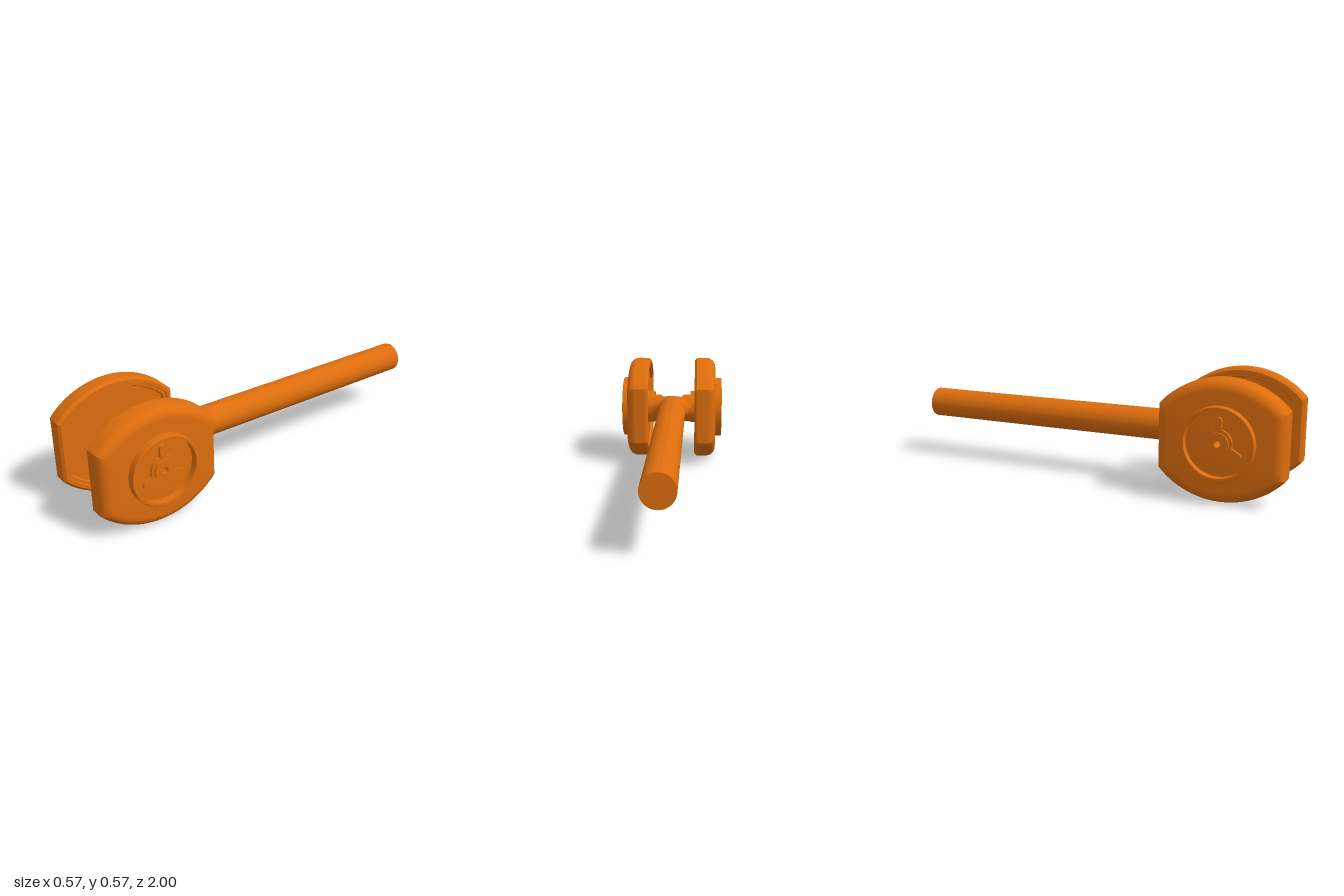
import * as THREE from 'three';
import { toCreasedNormals } from 'three/addons/utils/BufferGeometryUtils.js';

const CY = 0.288, CZ = 0.7;            // axle height and position
const HUB_R = 0.092, ROD_R = 0.077, HOLE_R = 0.015;
const material = new THREE.MeshStandardMaterial({ color: 0xdd6d0d });

function part(name, geometry, crease = 0.5) {
  const mesh = new THREE.Mesh(toCreasedNormals(geometry, crease), material);
  mesh.name = name;
  return mesh;
}

// Grid surface whose vertices are placed by fn(u, v) -> [x, y, z]
function surface(nu, nv, fn) {
  const g = new THREE.PlaneGeometry(1, 1, nu, nv);
  const p = g.attributes.position;
  for (let j = 0, k = 0; j <= nv; j++)
    for (let i = 0; i <= nu; i++, k++) p.setXYZ(k, ...fn(i / nu, j / nv));
  return g;
}

// Ring turned about the x axis
function ring(name, x0, x1, rIn, rOut, bevel = 0) {
  const pts = [[rIn, x0], [rOut, x0], [rOut, x1 - bevel], [rOut - bevel, x1], [rIn, x1], [rIn, x0]]
    .filter((p, i) => bevel > 0 || i !== 3)
    .map(p => new THREE.Vector2(...p));
  return part(name, new THREE.LatheGeometry(pts, 64).rotateZ(-Math.PI / 2));
}

// Wheel outline [z, y]: flat front and back, arched top and bottom, inset by d
const SIDE = 8, ARC = 40, AROUND = 2 * (SIDE + ARC);
function outline(i, d) {
  const R = 0.403 - d, w = 0.3 - d, drop = 0.116;
  const edge = Math.sqrt(R * R - w * w) - drop;
  const half = SIDE + ARC, s = (i % AROUND) < half ? 1 : -1, k = i % half;
  if (k < SIDE) return [s * w, s * edge * (2 * k / SIDE - 1)];
  const a0 = Math.asin(w / R), a = a0 * (1 - 2 * (k - SIDE) / ARC);
  return [s * R * Math.sin(a), s * (R * Math.cos(a) - drop)];
}

function wheelBody() {
  // Profile from the inner floor over the rim to the outer floor
  const profile = [
    { x: 0.15, r: HOLE_R }, { x: 0.15, d: 0.05 }, { x: 0.138, d: 0.045 }, { x: 0.138, d: 0.03 },
    { x: 0.131, d: 0.028 }, { x: 0.131, d: 0.012 }, { x: 0.143, d: 0 },
  ];
  for (let k = 0; k <= 8; k++) {
    const t = k / 8 * Math.PI / 2;
    profile.push({ x: 0.2 + 0.05 * Math.sin(t), d: 0.05 * (1 - Math.cos(t)) });
  }
  profile.push({ x: 0.25, r: HOLE_R }, { x: 0.15, r: HOLE_R });
  const n = profile.length - 1;
  return part('wheelBody', surface(AROUND, n, (u, v) => {
    const { x, d = 0, r } = profile[Math.round(v * n)];
    let [z, y] = outline(Math.round(u * AROUND), d);
    if (r) {
      const s = r / Math.hypot(z, y);
      z *= s;
      y *= s;
    }
    return [x, y, z];
  }));
}

// Round-ended spoke on the outer face
function spoke(angle) {
  const w = 0.017, a = 0.05, b = 0.104;
  const s = new THREE.Shape();
  s.moveTo(-w, a);
  s.lineTo(w, a);
  s.lineTo(w, b);
  s.absarc(0, b, w, 0, Math.PI, false);
  s.lineTo(-w, a);
  const g = new THREE.ExtrudeGeometry(s, { depth: 0.016, bevelEnabled: false, curveSegments: 8 });
  g.rotateZ(angle).rotateY(Math.PI / 2).translate(0.249, 0, 0);
  return part('spoke', g);
}

function wheel(name) {
  const g = new THREE.Group();
  g.name = name;
  g.add(
    wheelBody(),
    ring('outerRing', 0.245, 0.287, 0.155, 0.172, 0.003),
    ring('outerHub', 0.245, 0.264, HOLE_R, 0.066),
    ring('hubCap', 0.26, 0.274, HOLE_R, 0.052),
    ring('axleDisc', 0.105, 0.152, HOLE_R, HUB_R),
  );
  for (let k = 0; k < 3; k++) g.add(spoke(k * Math.PI * 2 / 3));
  g.position.set(0, CY, CZ);
  return g;
}

// Front boundary of the crosspiece: flat ends with a round notch between
const cut = x => Math.abs(x) < 0.067 ? 0.702 - Math.sqrt(0.082 ** 2 - x * x) : 0.655;

function handle() {
  const g = new THREE.Group();
  g.name = 'handle';

  // Rod with a fillet running into the cylindrical crosspiece
  const F = 10, n = F + 2;
  g.add(part('rod', surface(64, n, (u, v) => {
    const a = u * Math.PI * 2, k = Math.round(v * n), c = Math.cos(a);
    const h = ROD_R * Math.sin(a), x0 = ROD_R * Math.abs(c), r = 0.045 * Math.abs(c);
    if (k === n) return [0, CY, -1];
    if (k === n - 1) return [ROD_R * c, CY + h, -1];
    const t = (1 - k / F) * Math.PI / 2;
    const x = Math.sign(c) * (x0 + r - r * Math.cos(t));
    const zHub = CZ - Math.sqrt(HUB_R ** 2 - h * h);
    return [x, CY + h, Math.min(zHub - r + r * Math.sin(t), cut(x))];
  })));

  // Back of the crosspiece
  const W = 0.105;
  g.add(part('crosspiece', surface(32, 60, (u, v) => {
    const x = W * (1 - 2 * v);
    const b = (2 * u - 1) * Math.acos((CZ - cut(x)) / HUB_R);
    return [x, CY + HUB_R * Math.sin(b), CZ - HUB_R * Math.cos(b)];
  })));

  // Front face of the crosspiece and rod end
  g.add(part('crosspieceFront', surface(60, 1, (u, v) => {
    const x = W * (2 * u - 1), z = cut(x);
    const hub = Math.sqrt(HUB_R ** 2 - (CZ - z) ** 2);
    const rod = Math.sqrt(Math.max(0, ROD_R ** 2 - x * x));
    return [x, CY + Math.max(hub, rod) * (1 - 2 * v), z];
  })));
  return g;
}

export function createModel() {
  const model = new THREE.Group();
  model.name = 'wheeledHandle';
  const left = wheel('leftWheel'), right = wheel('rightWheel');
  right.rotation.y = Math.PI;
  model.add(handle(), left, right);
  return model;
}
